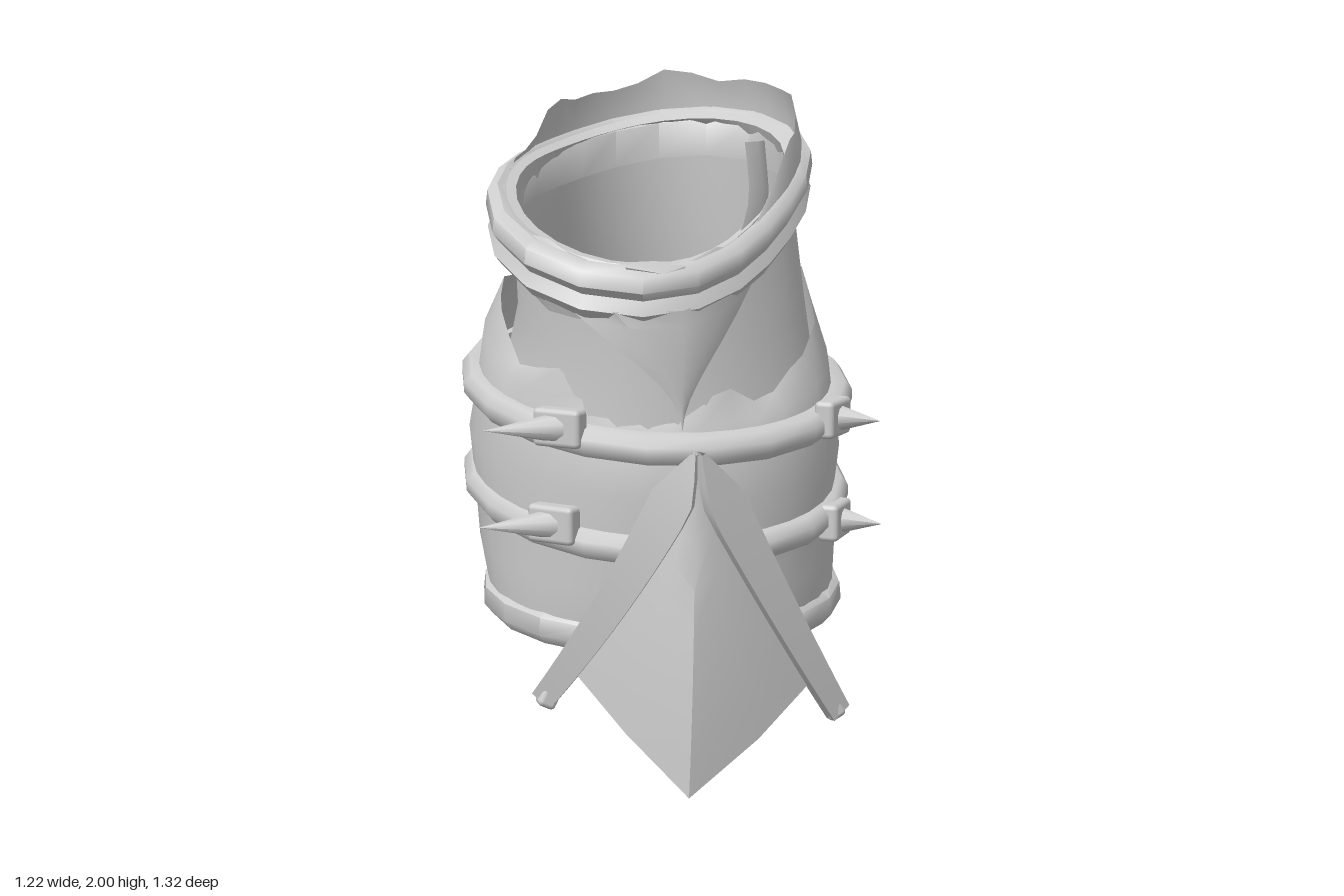
import * as THREE from 'three';
import { toCreasedNormals } from 'three/addons/utils/BufferGeometryUtils.js';
import { RoundedBoxGeometry } from 'three/addons/geometries/RoundedBoxGeometry.js';

const V = (x, y, z) => new THREE.Vector3(x, y, z);
const material = new THREE.MeshStandardMaterial({ color: 0xcccccc, side: THREE.DoubleSide });
const SIDES = 36;

// Skin rows of points, each row the same length
function grid(rows, crease = 0.7) {
  const n = rows[0].length, index = [];
  for (let j = 0; j < rows.length - 1; j++) {
    for (let i = 0; i < n - 1; i++) {
      const a = j * n + i, d = a + n;
      index.push(a, a + 1, d + 1, a, d + 1, d);
    }
  }
  const g = new THREE.BufferGeometry().setFromPoints(rows.flat());
  g.setIndex(index);
  return toCreasedNormals(g, crease);
}

// Tilted oval, skewed along a diagonal; angle 0 is the front, dr and dy offset outward and up
function ring(cx, cz, rx, rz, y, tiltZ, tiltX = 0, skew = 0, edge = () => 0) {
  return (a, dr = 0, dy = 0) => {
    const k = 1 - skew * Math.sin(2 * a);
    const x = cx + (rx + dr) * k * Math.sin(a), z = cz + (rz + dr) * k * Math.cos(a);
    return V(x, y + tiltZ * z + tiltX * x + edge(a) + dy, z);
  };
}

const around = (f, n = SIDES) => Array.from({ length: n + 1 }, (_, i) => f(i / n * Math.PI * 2));
const loft = (rings) => grid(rings.map((r) => around((a) => r(a))));

// Sweep a closed section of [outward, up] points round a ring
function band(r, section, n = 20) {
  return grid([...section, section[0]].map(([dr, dy]) => around((a) => r(a, dr, dy), n)), 0.9);
}

// Cloth point with concave sides, growing from a ring at one angle
function clothPoint(r, angle, halfAngle, dr, dy) {
  const rows = [];
  for (let j = 0; j <= 8; j++) {
    const t = j / 8, w = halfAngle * Math.pow(1 - t, 1.9);
    rows.push([-1, -0.5, 0, 0.5, 1].map((s) =>
      r(angle + s * w, dr * t + 0.03 * (1 - s * s) * (1 - t), dy * t)));
  }
  return grid(rows, 1);
}

// Flattened cone from base to tip, its thin side facing out
function spike(base, tip, width, depth, out) {
  const len = base.distanceTo(tip);
  const y = tip.clone().sub(base).normalize();
  const x = y.clone().cross(out).normalize();
  return new THREE.ConeGeometry(1, len, 10).translate(0, len / 2, 0).scale(width, 1, depth)
    .applyMatrix4(new THREE.Matrix4().makeBasis(x, y, x.clone().cross(y)).setPosition(base));
}

// Flat bar along a curve, pointed at its start and narrowing to its end
function rail(curve, out, width, depth) {
  const rows = [];
  for (let i = 0; i <= 12; i++) {
    const t = i / 12, p = curve.getPoint(t);
    const half = width / 2 * Math.min(1, 0.1 + t * 5) * (1.35 - 0.7 * t);
    const side = curve.getTangent(t).cross(out).normalize().multiplyScalar(half);
    const corner = (s, d) => p.clone().addScaledVector(side, s).addScaledVector(out, d);
    rows.push([corner(-1, 0), corner(1, 0), corner(1, depth), corner(-1, depth), corner(-1, 0)]);
  }
  const end = rows[12];
  const center = end[0].clone().add(end[2]).multiplyScalar(0.5);
  rows.push(end.map(() => center));
  return grid(rows, 0.6);
}

export function createModel() {
  const model = new THREE.Group();
  const add = (name, geometry) => {
    const m = new THREE.Mesh(geometry, material);
    m.name = name;
    model.add(m);
  };
  const jag = (a) => 0.025 * Math.sin(7 * a + 1) + 0.018 * Math.sin(12 * a);

  // Outer sleeve with a ragged top edge
  const bottom = ring(0.025, 0.01, 0.52, 0.44, 0.45, -0.12);
  add('sleeve', loft([
    bottom,
    ring(0.02, -0.03, 0.54, 0.51, 0.62, -0.16),
    ring(0.02, -0.07, 0.545, 0.55, 0.78, -0.2),
    ring(0.02, -0.065, 0.56, 0.565, 0.93, -0.2),
    ring(0.02, -0.06, 0.535, 0.545, 1.08, -0.21),
    ring(0.02, -0.045, 0.52, 0.51, 1.2, -0.34),
    ring(0.025, -0.03, 0.48, 0.48, 1.31, -0.49, 0.04, 0.04, jag),
  ]));

  // Inner tube lining the sleeve, with a flange turned in at the bottom
  const innerBottom = ring(0.055, 0.05, 0.37, 0.33, 0.44, -0.18, 0, 0.05);
  const neckTop = ring(0, 0, 0.425, 0.44, 1.66, -0.38, 0.1, 0.14);
  add('innerTube', loft([
    innerBottom,
    ring(0.035, 0.02, 0.47, 0.405, 0.5, -0.13),
    ring(0.02, -0.04, 0.51, 0.5, 0.72, -0.18),
    ring(0.02, -0.06, 0.525, 0.53, 0.93, -0.2),
    ring(0.03, -0.03, 0.48, 0.49, 1.1, -0.22, 0, 0.05),
    ring(0.03, -0.01, 0.44, 0.455, 1.35, -0.32, 0.05, 0.09),
    neckTop,
  ]));
  add('bottomFace', loft([ring(0.025, 0.01, 0.52, 0.44, 0.44, -0.12), innerBottom]));

  // Rolled bottom hem with a point at the back
  add('bottomHem', band(bottom, [[-0.04, -0.02], [0.005, -0.03], [0.03, 0], [0.025, 0.05], [-0.01, 0.07]]));
  add('hemPoint', clothPoint((a, dr, dy) => bottom(a, dr + 0.025, dy + 0.03), Math.PI, 0.45, 0.13, 0.26));

  // Two straps, each with a spiked buckle on either side
  const strapSection = [[-0.04, -0.04], [0.015, -0.04], [0.035, -0.015], [0.035, 0.015], [0.015, 0.04], [-0.04, 0.04]];
  const straps = [
    { r: ring(0.025, -0.06, 0.555, 0.56, 1.08, -0.21), angles: [-0.76, 0.84], lift: [0.03, 0.01] },
    { r: ring(0.025, -0.07, 0.55, 0.56, 0.78, -0.2), angles: [-0.8, 0.93], lift: [0.04, -0.02] },
  ];
  for (const { r, angles, lift } of straps) {
    add('strap', band(r, strapSection));
    angles.forEach((a, i) => {
      const base = r(a, 0.02, lift[i]);
      const box = new RoundedBoxGeometry(0.15, 0.11, 0.06, 2, 0.015);
      add('buckle', box.rotateY(a).translate(base.x, base.y, base.z));
      const dir = a < 0 ? V(-0.22, 0, 0) : V(0.11, 0, 0.1);
      add('spike', spike(base, base.clone().add(dir), 0.045, 0.045, V(0, 1, 0)));
    });
  }

  // Tilted, arched collar roll, the torn cloth above it and the drape below it
  const collar = (rx, rz, edge = () => 0) =>
    ring(-0.005, 0, rx, rz, 1.64, -0.38, 0.1, 0.14, (a) => edge(a) - 0.03 * Math.cos(2 * a));
  const roll = collar(0.465, 0.47);
  add('collarRoll', band(roll, [
    [-0.04, -0.06], [0.005, -0.08], [0.03, -0.045], [0.015, -0.01],
    [0.035, 0.02], [0.03, 0.06], [0, 0.075], [-0.04, 0.05],
  ]));
  const rise = (a) => 0.06 + 0.12 * THREE.MathUtils.smoothstep(Math.cos(a - 2.5), -0.5, 0.5) + 0.6 * jag(a);
  add('tornRim', loft([
    roll,
    collar(0.465, 0.47, (a) => rise(a) * 0.55),
    collar(0.445, 0.455, rise),
  ]));
  add('innerLip', loft([neckTop, collar(0.41, 0.42, () => 0.06), collar(0.44, 0.45, () => 0.07)]));
  const drape = (a) => -0.09 - 0.07 * Math.max(0, Math.sin(a * 3.5 + 0.4)) * Math.pow(Math.sin(a / 2), 2) - 0.4 * jag(a);
  add('collarDrape', loft([collar(0.45, 0.47, drape), collar(0.48, 0.485, () => -0.03)]));

  // Points at the front of the collar and the torn flap inside it
  add('collarPoint', clothPoint((a, dr, dy) => roll(a, dr, dy - 0.04), -0.1, 0.72, 0.03, -0.34));
  add('lipPoint', spike(V(-0.12, 1.49, 0.42), V(-0.15, 1.49, 0.65), 0.12, 0.012, V(0, 1, 0)));
  const flap = new THREE.CatmullRomCurve3([
    V(0.0, 1.47, 0.44), V(0.13, 1.53, 0.37), V(0.2, 1.66, 0.3), V(0.2, 1.82, 0.26),
  ]).getPoints(8);
  add('tornFlap', grid(flap.map((p, i) => [
    p, V(p.x + 0.05, p.y - 0.03 * (1 - i / 8), p.z - 0.03), V(p.x + 0.085, p.y - 0.08 * (1 - i / 8), p.z - 0.08),
  ])));

  // Hanging front guard: two curved rails and a plate folded down the middle
  const apex = V(-0.03, 0.98, 0.56);
  const wings = [
    { curve: new THREE.QuadraticBezierCurve3(apex, V(-0.19, 0.62, 0.53), V(-0.4, 0.22, 0.26)), out: V(-0.5, 0, 0.87) },
    { curve: new THREE.QuadraticBezierCurve3(apex, V(0.18, 0.57, 0.52), V(0.44, 0.16, 0.41)), out: V(0.35, 0, 0.94) },
  ];
  for (const { curve, out } of wings) {
    add('guardRail', rail(curve, out, 0.105, 0.035));
    const foot = curve.getPoint(0.96);
    add('railFoot', new RoundedBoxGeometry(0.055, 0.11, 0.06, 2, 0.015)
      .rotateZ(foot.x > 0 ? 0.5 : -0.45).translate(foot.x, foot.y, foot.z));
  }
  const rows = [];
  for (let i = 0; i <= 8; i++) {
    const t = i / 8;
    const ridge = V(-0.03 - 0.04 * t, 0.95 - 0.94 * t, 0.55 + 0.085 * Math.sin(t * Math.PI / 2));
    const [l, r] = wings.map(({ curve }) => curve.getPoint(t * 0.86));
    const [ml, mr] = [l, r].map((p, k) => p.clone().lerp(ridge, 0.5).addScaledVector(wings[k].out, 0.025 * t));
    rows.push([l, ml, ridge, mr, r]);
  }
  add('guardPlate', grid(rows.reverse(), 0.7));

  return model;
}
